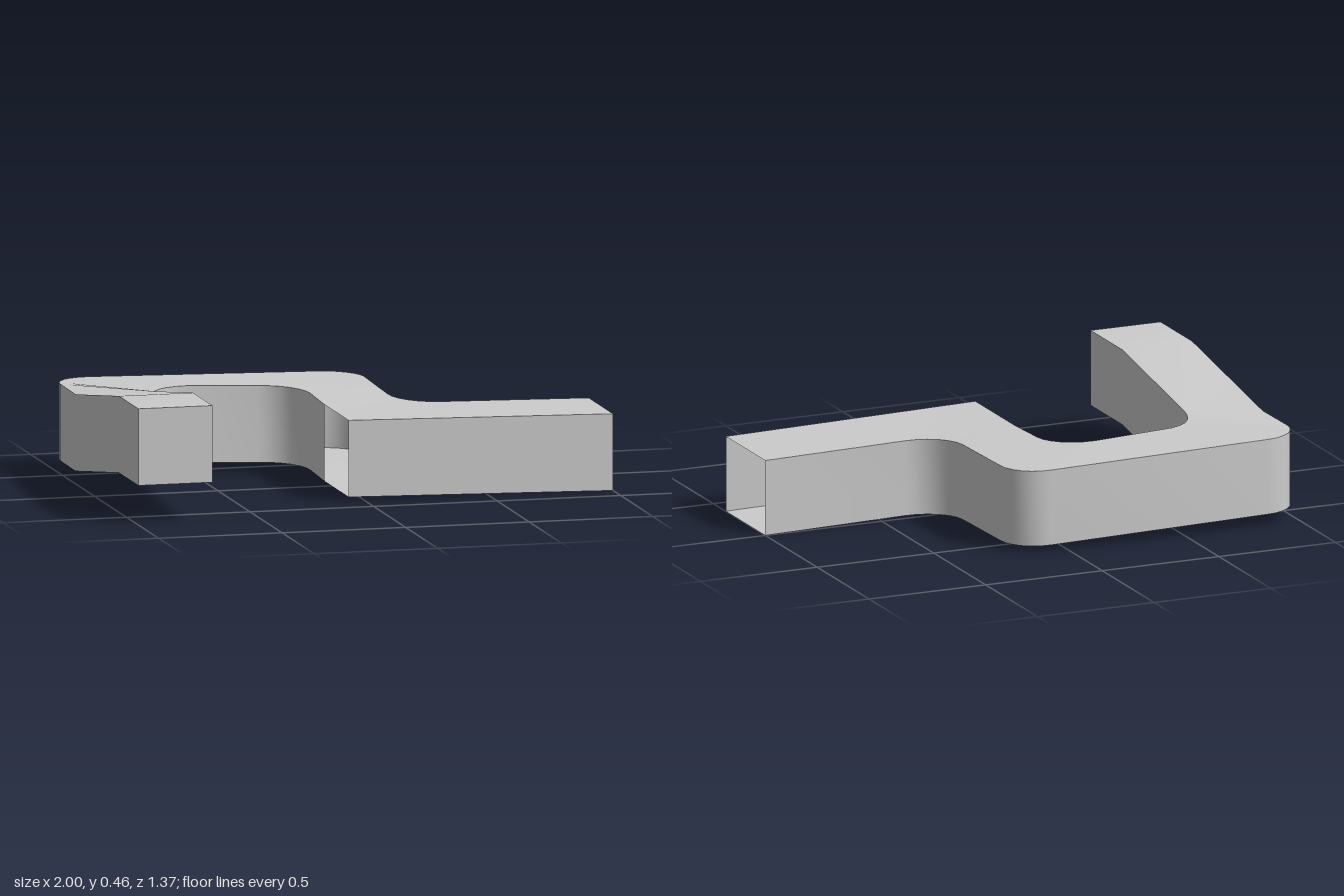
import * as THREE from 'three';
import { toCreasedNormals } from 'three/addons/utils/BufferGeometryUtils.js';

const HEIGHT = 0.305;
const STEPS = 6;

// Points [x, z] along an arc in plan
function arc(cx, cz, r, from, to) {
  return Array.from({ length: STEPS + 1 }, (_, i) => {
    const a = (from + (to - from) * i / STEPS) * Math.PI;
    return [cx + r * Math.cos(a), cz + r * Math.sin(a)];
  });
}

// Underside height: gentle fall towards the open end, steeper ramp up the long arm
function floorAt([x, z]) {
  const base = 0.02 * (1 - x) / 1.07 + 0.015 * THREE.MathUtils.clamp(-z / 0.4, 0, 1);
  if (x > -0.52) return base;
  return Math.max(base, 0.05 + 0.107 * THREE.MathUtils.clamp((z + 0.3) / 0.68, 0, 1));
}

// Matching left and right rails of the duct, from the closed end to the open end
function rails() {
  const left = [[-1, 0.685], [-1, 0.38], [-1, -0.3]];
  const right = [[-0.7, 0.685], [-0.7, 0.38], [-0.7, -0.215]];
  // two rounded bends at the back
  left.push(...arc(-0.85, -0.535, 0.15, 1, 1.5), ...arc(0.08, -0.535, 0.15, 1.5, 2));
  right.push(...arc(-0.53, -0.215, 0.17, 1, 1.5), ...arc(-0.24, -0.215, 0.17, 1.5, 2));
  // last bend: rounded on one side, square on the other
  const inner = arc(0.4, -0.17, 0.17, 1, 0.5), half = STEPS / 2;
  inner.forEach((p, i) => {
    left.push(p);
    right.push(i <= half ? [-0.07, 0] : [-0.07, 0.38]);
    if (i === half) { left.push(p); right.push([-0.07, 0.38]); }
  });
  left.push([0.4, 0], [1, 0]);
  right.push([0.4, 0.38], [1, 0.38]);
  return { left, right };
}

// Creased geometry from quads, dropping collapsed triangles
function quadGeometry(quads) {
  const pos = [];
  const tri = new THREE.Triangle();
  for (const [a, b, c, d] of quads) {
    for (const t of [[a, b, c], [a, c, d]]) {
      tri.set(...t);
      if (tri.getArea() > 1e-7) t.forEach(v => pos.push(v.x, v.y, v.z));
    }
  }
  const geo = new THREE.BufferGeometry();
  geo.setAttribute('position', new THREE.Float32BufferAttribute(pos, 3));
  return toCreasedNormals(geo, 0.6);
}

export function createModel() {
  const group = new THREE.Group();
  group.name = 'duct';
  const material = new THREE.MeshStandardMaterial({ color: 0xcccccc, side: THREE.DoubleSide });
  const add = (name, quads) => {
    const mesh = new THREE.Mesh(quadGeometry(quads), material);
    mesh.name = name;
    group.add(mesh);
  };

  const { left, right } = rails();
  const low = p => new THREE.Vector3(p[0], floorAt(p), p[1]);
  const high = p => new THREE.Vector3(p[0], floorAt(p) + HEIGHT, p[1]);

  const top = [], bottom = [], leftWall = [], rightWall = [];
  for (let i = 0; i < left.length - 1; i++) {
    const l0 = left[i], l1 = left[i + 1], r0 = right[i], r1 = right[i + 1];
    top.push([high(l0), high(r0), high(r1), high(l1)]);
    bottom.push([low(l0), low(l1), low(r1), low(r0)]);
    leftWall.push([low(l0), high(l0), high(l1), low(l1)]);
    // the side opening at the square bend has no wall
    const opening = r0[1] === 0 && r1[1] === 0.38;
    if (!opening) rightWall.push([high(r0), low(r0), low(r1), high(r1)]);
  }
  add('topPanel', top);
  add('bottomPanel', bottom);
  add('outerWall', leftWall);
  add('innerWall', rightWall);
  add('endCap', [[low(left[0]), low(right[0]), high(right[0]), high(left[0])]]);
  return group;
}
